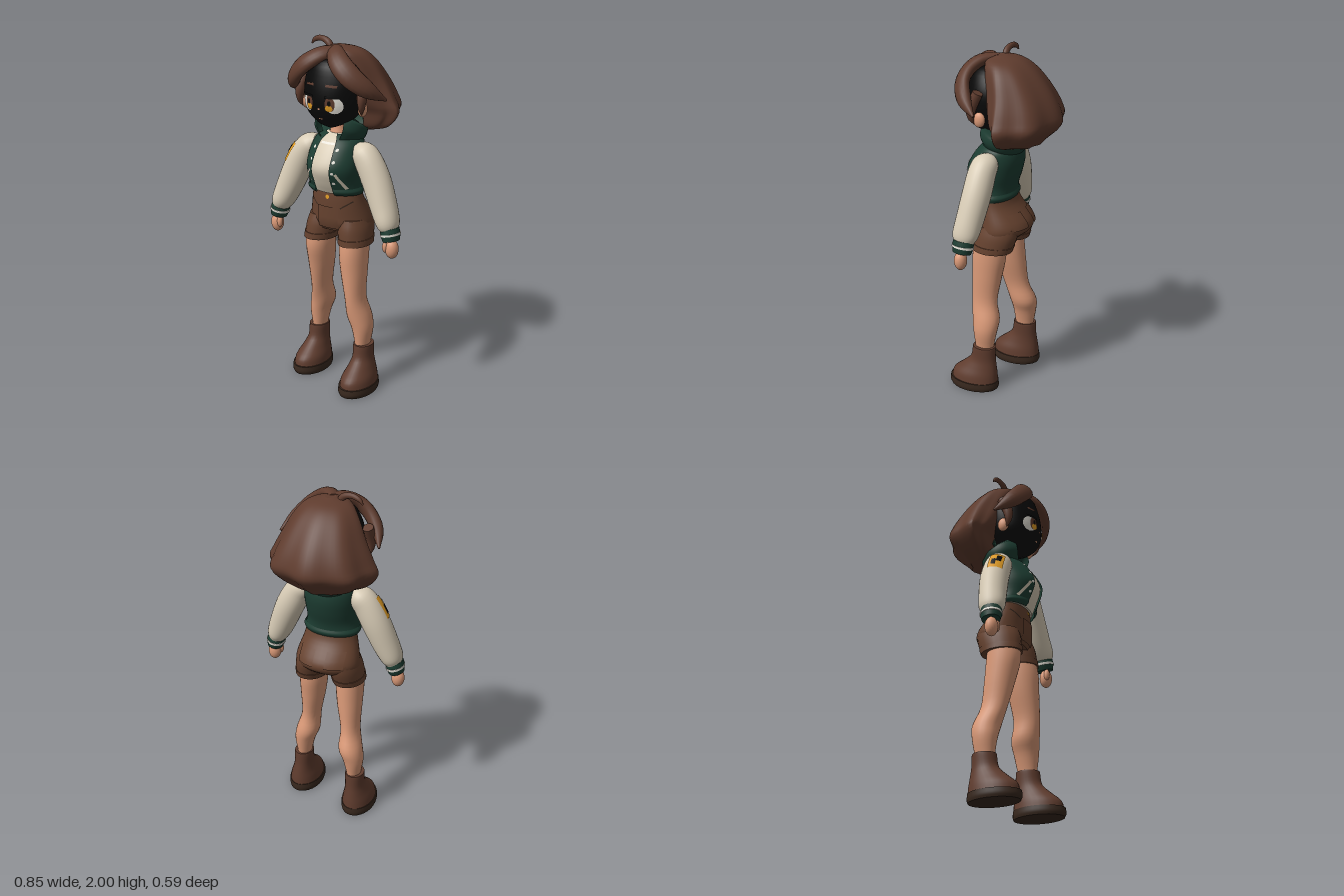
import * as THREE from 'three';

const V = (x, y, z) => new THREE.Vector3(x, y, z);
const mat = (name, color, side = THREE.FrontSide) => Object.assign(new THREE.MeshStandardMaterial({ color, side }), { name });

export function createModel() {
  const M = {
    hair: mat('hair brown', 0x5f3c2e),
    shorts: mat('shorts brown', 0x66422f),
    sole: mat('dark sole', 0x38281e),
    skin: mat('skin', 0xdb9a78),
    green: mat('jacket green', 0x1d3d32, THREE.DoubleSide),
    cream: mat('cream', 0xd8ccb6),
    white: mat('white', 0xf0ece2),
    amber: mat('amber', 0xe09c26),
    black: mat('black', 0x080808),
  };
  const root = new THREE.Group();
  const add = (name, geo, m) => {
    const mesh = new THREE.Mesh(geo, m);
    mesh.name = name;
    root.add(mesh);
    return mesh;
  };
  // one horizontal cross-section: height, half width, front z, back z, centre x
  const ring = (y, a, zf, zb, x = 0) => [x, y, (zf + zb) / 2, a, (zf - zb) / 2];

  // skin elliptical sections [x, y, z, halfWidth, halfDepth] along a smooth path
  function loft(name, rows, m, o = {}) {
    const { n = 24, flat = false, t0 = 0, t1 = 1, a0 = 0, a1 = Math.PI * 2, grow = 0, shape, hint, caps = true } = o;
    const path = new THREE.CatmullRomCurve3(rows.map(r => V(r[0], r[1], r[2])), false, 'catmullrom', 0.5);
    const size = new THREE.CatmullRomCurve3(rows.map(r => V(r[3], r[4], 0)), false, 'catmullrom', 0.5);
    const steps = Math.max(2, Math.ceil((rows.length - 1) * 4 * (t1 - t0)));
    const full = a1 - a0 > 6.28, cols = full ? n : n + 1;
    const pos = [], idx = [];
    for (let i = 0; i <= steps; i++) {
      const t = t0 + (t1 - t0) * i / steps, c = path.getPoint(t), s = size.getPoint(t);
      const T = flat ? V(0, -1, 0) : path.getTangent(t);
      const N = hint ? hint(c) : V(0, 0, 1);
      N.addScaledVector(T, -N.dot(T)).normalize();
      const U = N.clone().cross(T);
      for (let j = 0; j < cols; j++) {
        const th = a0 + (a1 - a0) * j / n, k = shape ? shape(th, t) : [1, 1];
        const p = c.clone().addScaledVector(U, (Math.max(s.x, 0.002) + grow) * Math.sin(th) * k[0])
          .addScaledVector(N, (Math.max(s.y, 0.002) + grow) * Math.cos(th) * k[1]);
        pos.push(p.x, p.y, p.z);
      }
    }
    for (let i = 0; i < steps; i++) for (let j = 0; j < n; j++) {
      const k = (j + 1) % cols, p = i * cols, q = p + cols;
      idx.push(p + j, q + j, p + k, p + k, q + j, q + k);
    }
    if (full && caps) for (const end of [0, 1]) {
      const from = end * steps * cols * 3, base = pos.length / 3, c = path.getPoint(end ? t1 : t0);
      pos.push(...pos.slice(from, from + cols * 3), c.x, c.y, c.z);
      for (let j = 0; j < n; j++) {
        const k = (j + 1) % n;
        idx.push(base + n, base + (end ? k : j), base + (end ? j : k));
      }
    }
    const g = new THREE.BufferGeometry();
    g.setAttribute('position', new THREE.Float32BufferAttribute(pos, 3));
    g.setIndex(idx);
    g.computeVertexNormals();
    return add(name, g, m);
  }

  // lay a flat piece onto the front (or back) of a mesh
  const caster = new THREE.Raycaster();
  function drape(name, geo, target, m, x, y, turn = 0, lift = 0.005, back = false) {
    geo.rotateZ(turn);
    if (back) geo.rotateY(Math.PI);
    geo.translate(x, y, 0);
    const p = geo.attributes.position, d = back ? -1 : 1;
    for (let i = 0; i < p.count; i++) {
      caster.set(V(p.getX(i), p.getY(i), 2 * d), V(0, 0, -d));
      const hit = caster.intersectObject(target)[0];
      p.setZ(i, (hit ? hit.point.z : 0) + lift * d);
    }
    geo.computeVertexNormals();
    return add(name, geo, m);
  }
  const oval = (w, h) => new THREE.RingGeometry(0.001, 1, 20, 3).scale(w, h, 1);
  const strip = (w, h) => new THREE.PlaneGeometry(w, h, 4, 4);
  const ball = (name, m, x, y, z, a, b, c) =>
    add(name, new THREE.SphereGeometry(1, 20, 14).scale(a, b, c).translate(x, y, z), m);

  // head, neck and ears
  const head = loft('head', [ring(1.925, 0.03, 0.11, 0.03), ring(1.89, 0.115, 0.2, -0.03), ring(1.8, 0.17, 0.235, -0.08),
    ring(1.7, 0.175, 0.248, -0.08), ring(1.62, 0.152, 0.238, -0.05), ring(1.56, 0.09, 0.2, 0), ring(1.53, 0.025, 0.15, 0.07)],
  M.black, { flat: true, n: 40 });
  loft('neck', [ring(1.6, 0.043, 0.1, 0.01), ring(1.52, 0.043, 0.1, 0.01), ring(1.45, 0.06, 0.12, 0)], M.skin, { flat: true });

  // torso: shirt with an open jacket over it
  const chest = [ring(1.49, 0.075, 0.12, -0.03), ring(1.455, 0.135, 0.165, -0.065), ring(1.39, 0.155, 0.215, -0.075),
    ring(1.31, 0.158, 0.25, -0.06), ring(1.23, 0.15, 0.225, -0.035), ring(1.165, 0.16, 0.19, -0.03)];
  const open = { flat: true, n: 40, a0: 0.36, a1: Math.PI * 2 - 0.36 };
  loft('shirt', chest, M.cream, { flat: true, n: 40, grow: -0.012 });
  const jacket = loft('jacket', chest, M.green, open);
  loft('jacketHem', [ring(1.2, 0.157, 0.21, -0.033), ring(1.18, 0.167, 0.21, -0.04), ring(1.16, 0.16, 0.19, -0.03)], M.green, open);
  loft('hoodCollar', [[0, 1.535, 0.025, 0.125, 0.115], [0, 1.53, 0.03, 0.15, 0.135], [0, 1.48, 0.045, 0.145, 0.13], [0, 1.43, 0.065, 0.1, 0.1]],
    M.green, { n: 32, a0: 0.6, a1: Math.PI * 2 - 0.6 });
  drape('neckline', strip(0.085, 0.01), root.getObjectByName('shirt'), M.white, 0, 1.445, 0, 0.004);

  // shorts
  const shorts = loft('shorts', [ring(1.185, 0.145, 0.165, -0.02), ring(1.12, 0.157, 0.17, -0.045), ring(1.03, 0.182, 0.17, -0.115),
    ring(0.98, 0.188, 0.168, -0.12), ring(0.94, 0.17, 0.15, -0.08)], M.shorts, { flat: true, n: 40 });
  drape('waistButton', oval(0.012, 0.012), shorts, M.amber, 0, 1.14);
  drape('fly', strip(0.13, 0.13), shorts, M.shorts, 0, 1.02, 0, 0.008);

  const armRows = s => [[0.125, 1.425, 0.07, 0.03, 0.04], [0.16, 1.4, 0.07, 0.065, 0.07], [0.205, 1.355, 0.075, 0.078, 0.077],
    [0.262, 1.25, 0.08, 0.082, 0.08], [0.318, 1.12, 0.095, 0.075, 0.077], [0.353, 1.04, 0.107, 0.063, 0.073],
    [0.368, 1, 0.11, 0.046, 0.055]].map(r => [r[0] * s, ...r.slice(1)]);

  for (const s of [1, -1]) {
    const side = s > 0 ? 'left' : 'right';
    const mirror = rows => rows.map(r => [r[0] * s, ...r.slice(1)]);
    // the right leg stands further back
    const stance = rows => mirror(rows).map(r => {
      const w = s > 0 ? 0 : Math.min(1, Math.max(0, (0.86 - r[1]) / 0.4));
      return [r[0], r[1], r[2] - 0.092 * w, r[3], r[4]];
    });
    const tag = n => side + n;

    // sleeve, cuff and hand
    loft(tag('Sleeve'), armRows(s), M.cream, { n: 28 });
    const cuff = mirror([[0.366, 1.015, 0.11, 0.05, 0.058], [0.373, 0.98, 0.112, 0.052, 0.06], [0.381, 0.945, 0.115, 0.045, 0.052]]);
    loft(tag('Cuff'), cuff, M.green);
    loft(tag('CuffStripe'), cuff, M.white, { t0: 0.4, t1: 0.58, grow: 0.003 });
    ball(tag('Hand'), M.skin, 0.388 * s, 0.9, 0.12, 0.038, 0.055, 0.036);
    ball(tag('Thumb'), M.skin, 0.357 * s, 0.912, 0.138, 0.017, 0.034, 0.017);

    // shorts leg with turned hem
    const shortLeg = mirror([ring(1.01, 0.08, 0.15, -0.09, 0.1), ring(0.95, 0.092, 0.168, -0.085, 0.105), ring(0.865, 0.09, 0.175, -0.055, 0.115)]);
    loft(tag('ShortsLeg'), shortLeg, M.shorts, { flat: true });
    loft(tag('ShortsHem'), shortLeg, M.shorts, { flat: true, t0: 0.8, grow: 0.004 });
    drape(tag('PocketEdge'), strip(0.075, 0.007), shorts, M.sole, 0.105 * s, 1.1, 0.6 * s, 0.003);
    drape(tag('BackPocket'), strip(0.1, 0.085), shorts, M.shorts, 0.085 * s, 1.045, 0, 0.008, true);

    // leg and boot
    loft(tag('Leg'), stance([ring(0.93, 0.08, 0.16, -0.02, 0.112), ring(0.82, 0.08, 0.178, -0.02, 0.116), ring(0.7, 0.071, 0.178, 0, 0.124),
      ring(0.55, 0.055, 0.175, 0.022, 0.14), ring(0.44, 0.069, 0.163, 0.002, 0.156), ring(0.36, 0.059, 0.15, 0.01, 0.176),
      ring(0.26, 0.04, 0.138, 0.028, 0.18), ring(0.22, 0.04, 0.138, 0.028, 0.18)]), M.skin, { flat: true });
    loft(tag('Boot'), stance([ring(0.268, 0.055, 0.15, 0.016, 0.186), ring(0.255, 0.056, 0.152, 0.014, 0.186), ring(0.19, 0.056, 0.165, 0.012, 0.187),
      ring(0.14, 0.068, 0.215, 0.006, 0.19), ring(0.09, 0.086, 0.272, 0, 0.192), ring(0.04, 0.094, 0.285, -0.003, 0.193)]), M.hair, { flat: true, n: 28 });
    loft(tag('Sole'), stance([ring(0.05, 0.098, 0.293, -0.005, 0.193), ring(0.02, 0.1, 0.296, -0.007, 0.193), ring(0, 0.095, 0.288, -0.002, 0.193)]),
      M.sole, { flat: true, n: 28 });

    // jacket snaps and slanted pocket
    for (const y of [1.24, 1.3, 1.36, 1.42]) drape(tag('Snap'), oval(0.008, 0.008), jacket, M.white, 0.073 * s, y);
    drape(tag('JacketPocket'), strip(0.014, 0.1), jacket, M.cream, 0.106 * s, 1.25, -0.4 * -s * -1 * -1, 0.005);

    // ear and face
    ball(tag('Ear'), M.skin, 0.182 * s, 1.645, 0.1, 0.022, 0.042, 0.034);
    drape(tag('EyeWhite'), oval(0.042, 0.045), head, M.white, 0.084 * s, 1.675, 0, 0.003);
    drape(tag('Iris'), oval(0.026, 0.04), head, M.hair, 0.064 * s, 1.682, 0, 0.006);
    drape(tag('IrisGlow'), oval(0.02, 0.018), head, M.amber, 0.06 * s, 1.66, 0, 0.009);
    drape(tag('Pupil'), oval(0.009, 0.015), head, M.black, 0.064 * s, 1.688, 0, 0.0095);
    drape(tag('Lash'), strip(0.09, 0.014), head, M.black, 0.082 * s, 1.72, 0, 0.008);
    drape(tag('Brow'), strip(0.06, 0.013), head, M.hair, 0.068 * s, 1.778, -0.08 * s, 0.005);

    // lock of hair before the ear
    loft(tag('SideLock'), mirror([[0.195, 1.8, 0.1, 0.03, 0.03], [0.2, 1.72, 0.135, 0.028, 0.03], [0.2, 1.66, 0.14, 0.016, 0.02], [0.19, 1.62, 0.125, 0.002, 0.003]]),
      M.hair, { n: 12 });
  }
  drape('nose', oval(0.007, 0.005), head, M.skin, 0, 1.652, 0, 0.004);
  drape('mouth', strip(0.022, 0.005), head, M.skin, 0, 1.595, 0, 0.004);

  // sleeve patch with a zigzag mark
  const patch = (name, m, t0, t1, a0, a1, grow) => loft(name, armRows(-1), m, { n: 8, t0, t1, a0, a1, grow });
  patch('sleevePatch', M.amber, 0.32, 0.49, -1.72, -0.65, 0.004);
  patch('patchMarkUpper', M.black, 0.35, 0.41, -1.2, -0.85, 0.007);
  patch('patchMarkMiddle', M.black, 0.395, 0.42, -1.5, -0.85, 0.007);
  patch('patchMarkLower', M.black, 0.405, 0.46, -1.5, -1.2, 0.007);

  // bobbed hair, scalloped towards the ends and shallow at the face
  const bob = [[1.965, 0.05, 0.03, 0.03], [1.94, 0.03, 0.12, 0.1], [1.88, 0, 0.178, 0.15], [1.78, -0.03, 0.23, 0.2],
    [1.68, -0.04, 0.278, 0.24], [1.61, -0.04, 0.302, 0.242], [1.53, -0.04, 0.245, 0.165], [1.49, -0.06, 0.13, 0.11]];
  loft('hairBob', bob.map(([y, z, a, b]) => [0, y, z, a, b]), M.hair, {
    flat: true, n: 64,
    shape: (th, t) => {
      const k = 1 + 0.06 * t * Math.cos(8 * th);
      return [k, k * (Math.cos(th) > 0 ? Math.max(0.25, 1.2 - 1.3 * t) : 1)];
    },
  });

  // parted fringe and the stray curl on top
  const outward = c => V(c.x, (c.y - 1.72) * 0.8, c.z);
  loft('rightFringe', [[0.03, 1.945, 0.07, 0.03, 0.02], [-0.035, 1.93, 0.15, 0.05, 0.034], [-0.1, 1.89, 0.198, 0.056, 0.036],
    [-0.165, 1.835, 0.2, 0.056, 0.036], [-0.225, 1.765, 0.16, 0.045, 0.034], [-0.268, 1.7, 0.08, 0.006, 0.006]], M.hair, { n: 16, hint: outward });
  loft('leftFringe', [[-0.01, 1.95, 0.07, 0.03, 0.02], [0.045, 1.935, 0.15, 0.05, 0.034], [0.11, 1.89, 0.198, 0.06, 0.036],
    [0.18, 1.83, 0.2, 0.06, 0.036], [0.25, 1.765, 0.15, 0.045, 0.034], [0.31, 1.705, 0.07, 0.006, 0.006]], M.hair, { n: 16, hint: outward });
  loft('topCurl', [[-0.045, 1.93, 0.055, 0.02, 0.018], [-0.07, 1.972, 0.055, 0.019, 0.017], [-0.12, 1.987, 0.048, 0.016, 0.013],
    [-0.165, 1.975, 0.042, 0.013, 0.011], [-0.188, 1.95, 0.04, 0.004, 0.004]], M.hair, { n: 12 });
  return root;
}
